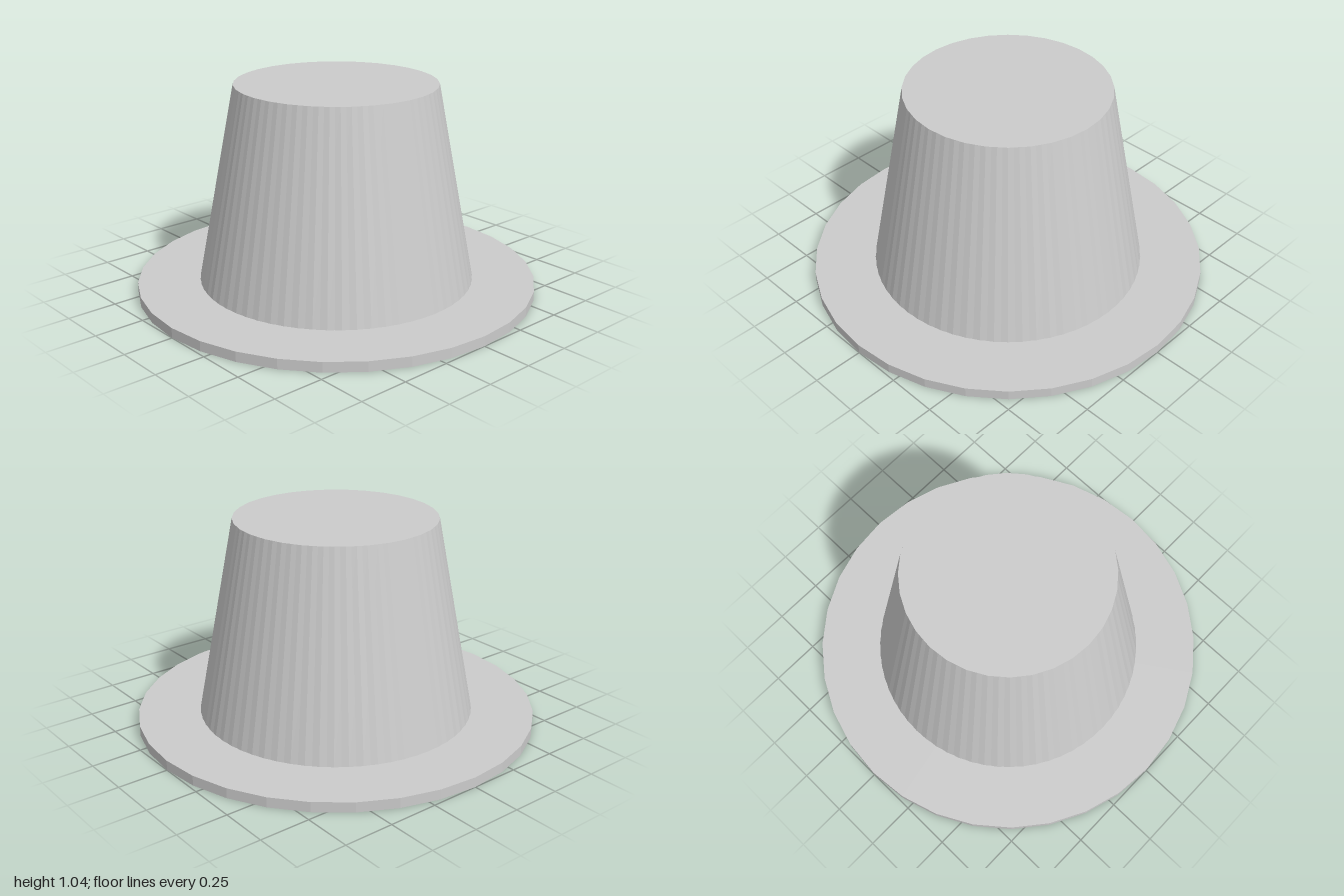
import * as THREE from 'three';

const SIDES = 32;
const BRIM_HEIGHT = 0.05;
const HEIGHT = 1.04;

export function createModel() {
  const group = new THREE.Group();
  group.name = 'hat';
  const material = new THREE.MeshStandardMaterial({ color: 0xcccccc, flatShading: true });

  // Upright faceted part standing on a given height
  function addRound(name, topRadius, bottomRadius, base, height, turn = 0, open = false) {
    const geometry = new THREE.CylinderGeometry(topRadius, bottomRadius, height, SIDES, 1, open);
    const mesh = new THREE.Mesh(geometry, material);
    mesh.name = name;
    mesh.position.y = base + height / 2;
    mesh.rotation.y = turn;
    group.add(mesh);
  }

  // Flat disc brim
  addRound('brim', 1, 1, 0, BRIM_HEIGHT);

  // Tapered crown, with a second wall turned half a side for the fluted facets
  const crownHeight = HEIGHT - BRIM_HEIGHT;
  addRound('crown', 0.5, 0.69, BRIM_HEIGHT, crownHeight);
  addRound('crownFluting', 0.5, 0.69, BRIM_HEIGHT, crownHeight, Math.PI / SIDES, true);

  return group;
}
